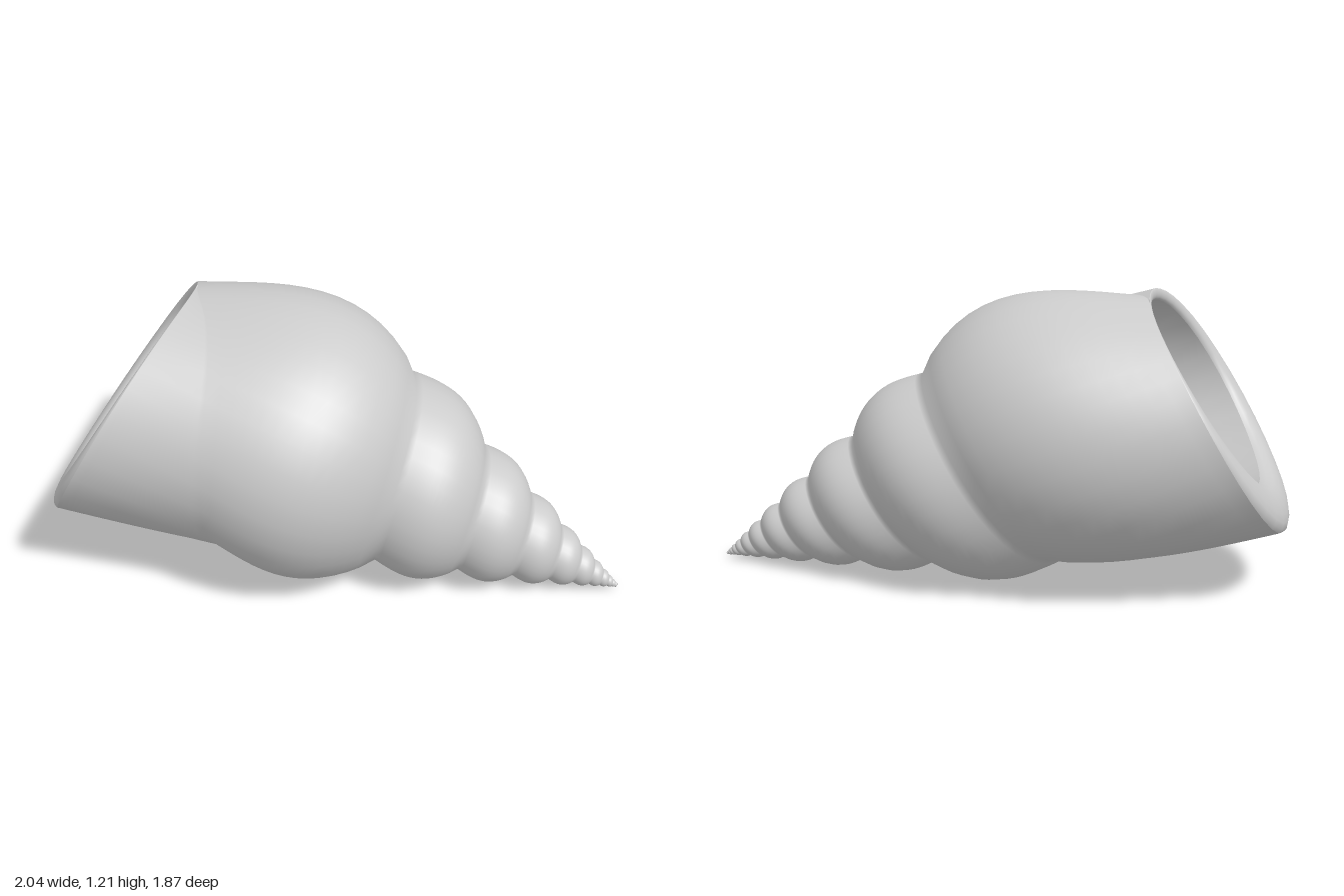
import * as THREE from 'three';
import { mergeVertices } from 'three/addons/utils/BufferGeometryUtils.js';

// Coil frame: apex, axis towards the mouth, and two directions across it
const APEX = new THREE.Vector3(1, 0.02, -0.95);
const AXIS = new THREE.Vector3(-0.72, 0.39, 0.575).normalize();
const U = new THREE.Vector3(0.575, 0, 0.72).normalize();
const V = new THREE.Vector3().crossVectors(AXIS, U);

const SEGMENTS = 36;      // steps per turn
const END = 1.36;         // where the suture reaches the mouth, in turns
const TURNS = 12;
const { lerp, smoothstep } = THREE.MathUtils;
const angle = (turn) => turn * Math.PI * 2;

// Point at an angle around the axis, a distance along it and a radius from it
function place(turn, [along, radius]) {
  const t = angle(turn);
  return APEX.clone()
    .addScaledVector(AXIS, along)
    .addScaledVector(U, radius * Math.cos(t))
    .addScaledVector(V, radius * Math.sin(t));
}

// Distance from the axis to an off-centre ellipse (centre cu, cv; half sizes p, q)
function ellipse(turn, cu, cv, p, q) {
  const x = Math.cos(angle(turn)), y = Math.sin(angle(turn));
  const a = (x / p) ** 2 + (y / q) ** 2;
  const b = (x * cu) / p ** 2 + (y * cv) / q ** 2;
  const c = (cu / p) ** 2 + (cv / q) ** 2 - 1;
  return (b + Math.sqrt(b * b - a * c)) / a;
}

// Outer edge of the mouth
const rim = (turn) => [
  2.24 - 0.07 * Math.sin(angle(turn)),
  ellipse(turn, 0.08, -0.17, 0.57, 0.55),
];

// Seam between whorls: grows by half each turn, then drops towards the mouth
function suture(turn) {
  const [rimAlong, rimRadius] = rim(turn);
  const grown = 1.06 * 1.5 ** turn + 0.38 * smoothstep(turn, 0.65, 1.3);
  return [
    lerp(grown, rimAlong, smoothstep(turn, 1.2, END)),
    lerp(0.354 * grown, rimRadius, smoothstep(turn, 0.8, 1.25)),
  ];
}

// Rounded whorl profile from one seam to the next, or to the rim
function whorl(turn, t) {
  const [a0, r0] = suture(turn);
  const [a1, r1] = turn + 1 <= END + 1e-6 ? suture(turn + 1) : rim(turn);
  const bulge = 0.19 * (1 - smoothstep(turn, 0.2, 0.95)) * (a1 - a0);
  return [lerp(a0, a1, t), lerp(r0, r1, t) + bulge * Math.sin(Math.PI * t ** 0.8)];
}

// Smooth surface from a grid of points
function grid(columns, rows, point) {
  const positions = [], index = [];
  for (let i = 0; i <= columns; i++) {
    for (let j = 0; j <= rows; j++) {
      positions.push(...point(i, j).toArray());
      if (i === columns || j === rows) continue;
      const a = i * (rows + 1) + j, b = a + rows + 1;
      index.push(a, b, a + 1, b, b + 1, a + 1);
    }
  }
  const geometry = new THREE.BufferGeometry();
  geometry.setAttribute('position', new THREE.Float32BufferAttribute(positions, 3));
  geometry.setIndex(index);
  const merged = mergeVertices(geometry, 1e-5);
  merged.computeVertexNormals();
  return merged;
}

export function createModel() {
  const group = new THREE.Group();
  group.name = 'spiralShell';
  const material = new THREE.MeshStandardMaterial({ color: 0xcccccc, side: THREE.DoubleSide });
  const add = (name, geometry) => {
    const mesh = new THREE.Mesh(geometry, material);
    mesh.name = name;
    group.add(mesh);
  };

  // Coiled whorls from apex to mouth
  const columns = TURNS * SEGMENTS, rows = 14;
  add('whorls', grid(columns, rows, (i, j) => {
    const turn = END - (columns - i) / SEGMENTS;
    return place(turn, whorl(turn, j / rows));
  }));

  // Rolled lip, thick on the lower side and thin on top
  const rollSteps = 8;
  const lip = (turn, s) => {
    const [along, outer] = rim(turn);
    const inner = ellipse(turn, 0.07, -0.08, 0.47, 0.42);
    const radius = lerp(outer, inner, (1 - Math.cos(Math.PI * s)) / 2);
    return [along + 0.25 * (outer - inner) * Math.sin(Math.PI * s) - 0.02 * s, radius];
  };
  add('mouthLip', grid(SEGMENTS, rollSteps, (i, j) => {
    const turn = END + (i % SEGMENTS) / SEGMENTS;
    return place(turn, lip(turn, j / rollSteps));
  }));

  // Hollow chamber behind the lip: distance along the axis, then ellipse
  const chamber = [
    [2.0, 0.06, -0.05, 0.5, 0.46],
    [1.75, 0, -0.03, 0.5, 0.49],
    [1.5, 0, 0, 0.43, 0.43],
    [1.33, 0, 0, 0.3, 0.3],
    [1.24, 0, 0, 0.15, 0.15],
    [1.22, 0, 0, 0.001, 0.001],
  ];
  add('innerChamber', grid(SEGMENTS, chamber.length, (i, j) => {
    const turn = END + (i % SEGMENTS) / SEGMENTS;
    if (j === 0) return place(turn, lip(turn, 1));
    const [along, ...shape] = chamber[j - 1];
    return place(turn, [along, ellipse(turn, ...shape)]);
  }));

  return group;
}
